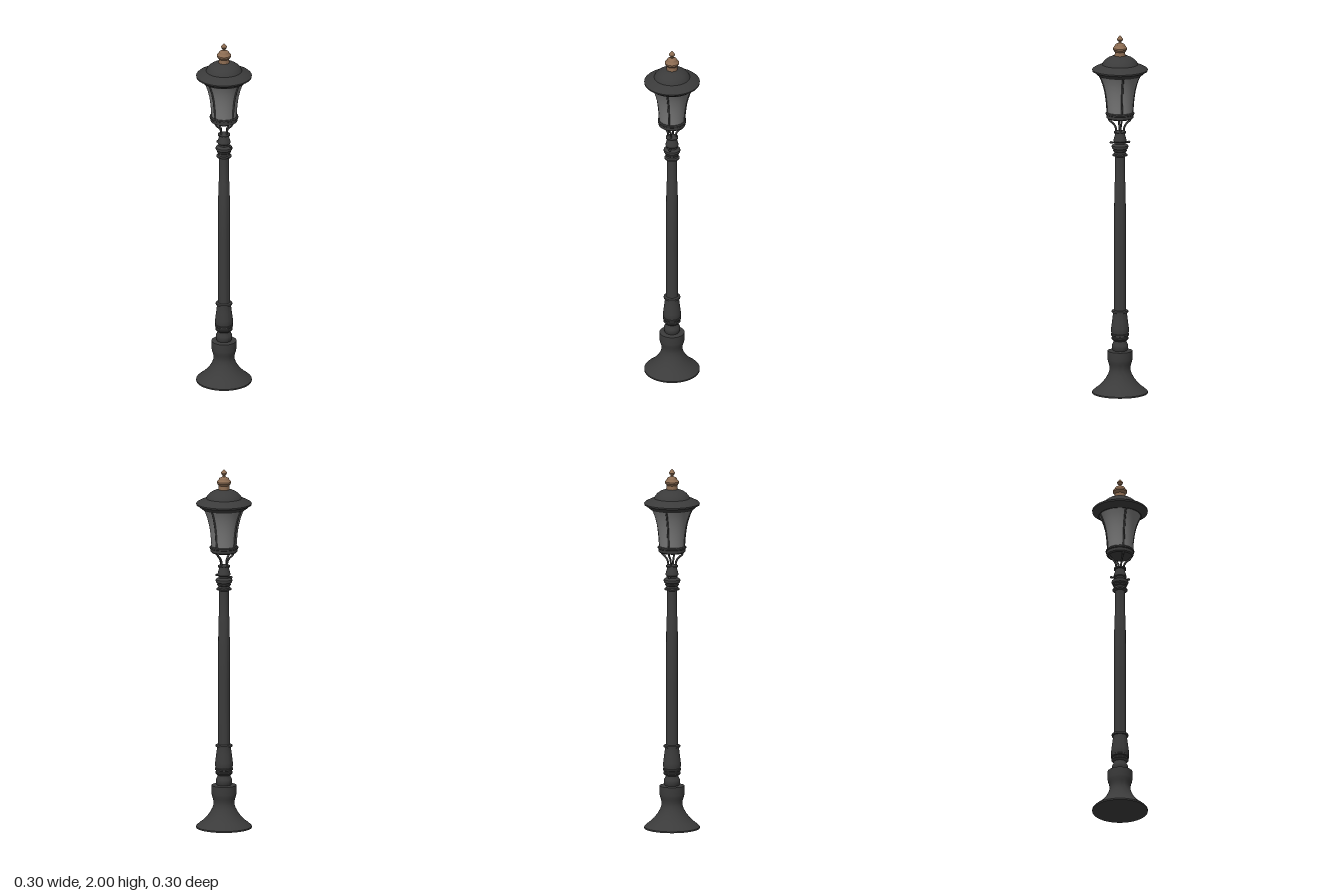
import * as THREE from 'three';
import { toCreasedNormals } from 'three/addons/utils/BufferGeometryUtils.js';

const iron = new THREE.MeshStandardMaterial({ color: 0x3b3b3b });
iron.name = 'dark iron';
const glass = new THREE.MeshStandardMaterial({ color: 0x767676 });
glass.name = 'grey glass';
const copper = new THREE.MeshStandardMaterial({ color: 0x8c6c52 });
copper.name = 'copper';

// Turned part from [radius, height] pairs listed upwards
function turned(name, profile, material, sides = 40) {
  const points = profile.map(([r, y]) => new THREE.Vector2(r, y));
  const geometry = toCreasedNormals(new THREE.LatheGeometry(points, sides), 0.6);
  const mesh = new THREE.Mesh(geometry, material);
  mesh.name = name;
  return mesh;
}

// Smooth bar swept along [radius, height] pairs in the xy plane
function bar(name, path, radius) {
  const curve = new THREE.CatmullRomCurve3(path.map(([r, y]) => new THREE.Vector3(r, y, 0)));
  const mesh = new THREE.Mesh(new THREE.TubeGeometry(curve, 20, radius, 8), iron);
  mesh.name = name;
  return mesh;
}

export function createModel() {
  const lamp = new THREE.Group();
  lamp.name = 'streetLamp';

  // Flared foot with a square-topped collar
  lamp.add(turned('base', [
    [0, 0], [0.152, 0], [0.152, 0.008], [0.142, 0.018], [0.12, 0.035], [0.098, 0.056],
    [0.078, 0.082], [0.064, 0.108], [0.057, 0.13], [0.057, 0.146], [0.061, 0.163],
    [0.066, 0.178], [0.068, 0.19], [0.068, 0.236], [0.04, 0.238], [0, 0.238],
  ], iron));

  // Pedestal mouldings
  lamp.add(turned('pedestal', [
    [0, 0.236], [0.038, 0.236], [0.042, 0.245], [0.045, 0.258], [0.044, 0.27], [0.037, 0.282],
    [0.036, 0.293], [0.042, 0.298], [0.047, 0.304], [0.047, 0.31], [0.043, 0.314],
    [0.043, 0.32], [0.05, 0.323], [0.05, 0.331], [0.046, 0.334], [0.049, 0.345],
    [0.048, 0.365], [0.043, 0.405], [0.038, 0.445], [0.038, 0.449], [0.045, 0.451],
    [0.046, 0.456], [0.045, 0.461], [0.034, 0.465], [0, 0.465],
  ], iron));

  // Two-step shaft
  lamp.add(turned('pole', [
    [0, 0.46], [0.034, 0.46], [0.033, 0.8], [0.031, 1.17], [0.028, 1.18], [0.027, 1.335], [0, 1.335],
  ], iron, 24));

  // Ringed capital and neck
  lamp.add(turned('capital', [
    [0, 1.322], [0.028, 1.322], [0.041, 1.327], [0.041, 1.334], [0.032, 1.338], [0.031, 1.348],
    [0.037, 1.353], [0.037, 1.36], [0.034, 1.363], [0.043, 1.368], [0.046, 1.376],
    [0.045, 1.384], [0.038, 1.39], [0.03, 1.394], [0.03, 1.403], [0.035, 1.409],
    [0.034, 1.422], [0.028, 1.44], [0.026, 1.452], [0.034, 1.454], [0.034, 1.461],
    [0.027, 1.465], [0.013, 1.468], [0, 1.468],
  ], iron));

  // Thin crossbar through the neck
  lamp.add(bar('crossbar', [[-0.053, 1.402], [0, 1.402], [0.053, 1.402]], 0.005));
  for (const side of [-1, 1]) {
    const knob = new THREE.Mesh(new THREE.SphereGeometry(0.007, 10, 8), iron);
    knob.name = 'crossbarKnob';
    knob.position.set(side * 0.05, 1.402, 0);
    lamp.add(knob);
  }

  // Lantern tray
  lamp.add(turned('lanternTray', [
    [0, 1.534], [0.066, 1.534], [0.073, 1.54], [0.074, 1.556], [0.078, 1.559], [0.078, 1.566],
    [0.073, 1.571], [0, 1.571],
  ], iron));

  // Flared glass shade
  const shade = [
    [0.069, 1.568], [0.071, 1.605], [0.075, 1.645], [0.081, 1.685], [0.091, 1.725],
    [0.103, 1.758], [0.116, 1.784],
  ];
  lamp.add(turned('glassShade', shade, glass));

  // Four curved brackets below and four ribs over the glass
  for (let i = 0; i < 4; i++) {
    const arm = new THREE.Group();
    arm.name = 'lanternArm';
    arm.rotation.y = i * Math.PI / 2;
    arm.add(bar('bracket', [
      [0.022, 1.46], [0.022, 1.478], [0.03, 1.498], [0.043, 1.513], [0.056, 1.523], [0.063, 1.54],
    ], 0.0055));
    arm.add(bar('glassRib', shade, 0.0055));
    lamp.add(arm);
  }

  // Overhanging roof with a dome
  lamp.add(turned('roof', [
    [0, 1.776], [0.117, 1.776], [0.124, 1.781], [0.14, 1.795], [0.151, 1.801], [0.152, 1.809],
    [0.146, 1.815], [0.125, 1.826], [0.098, 1.837], [0.093, 1.848], [0.081, 1.862],
    [0.064, 1.874], [0.046, 1.882], [0.033, 1.886], [0, 1.886],
  ], iron, 48));

  // Copper finial
  lamp.add(turned('finial', [
    [0, 1.882], [0.03, 1.882], [0.029, 1.895], [0.029, 1.908], [0.034, 1.914], [0.039, 1.921],
    [0.039, 1.929], [0.033, 1.936], [0.028, 1.942], [0.026, 1.949], [0.016, 1.954],
    [0.008, 1.958], [0.008, 1.965], [0.013, 1.97], [0.017, 1.977], [0.015, 1.982],
    [0.007, 1.992], [0, 2],
  ], copper, 20));

  return lamp;
}
